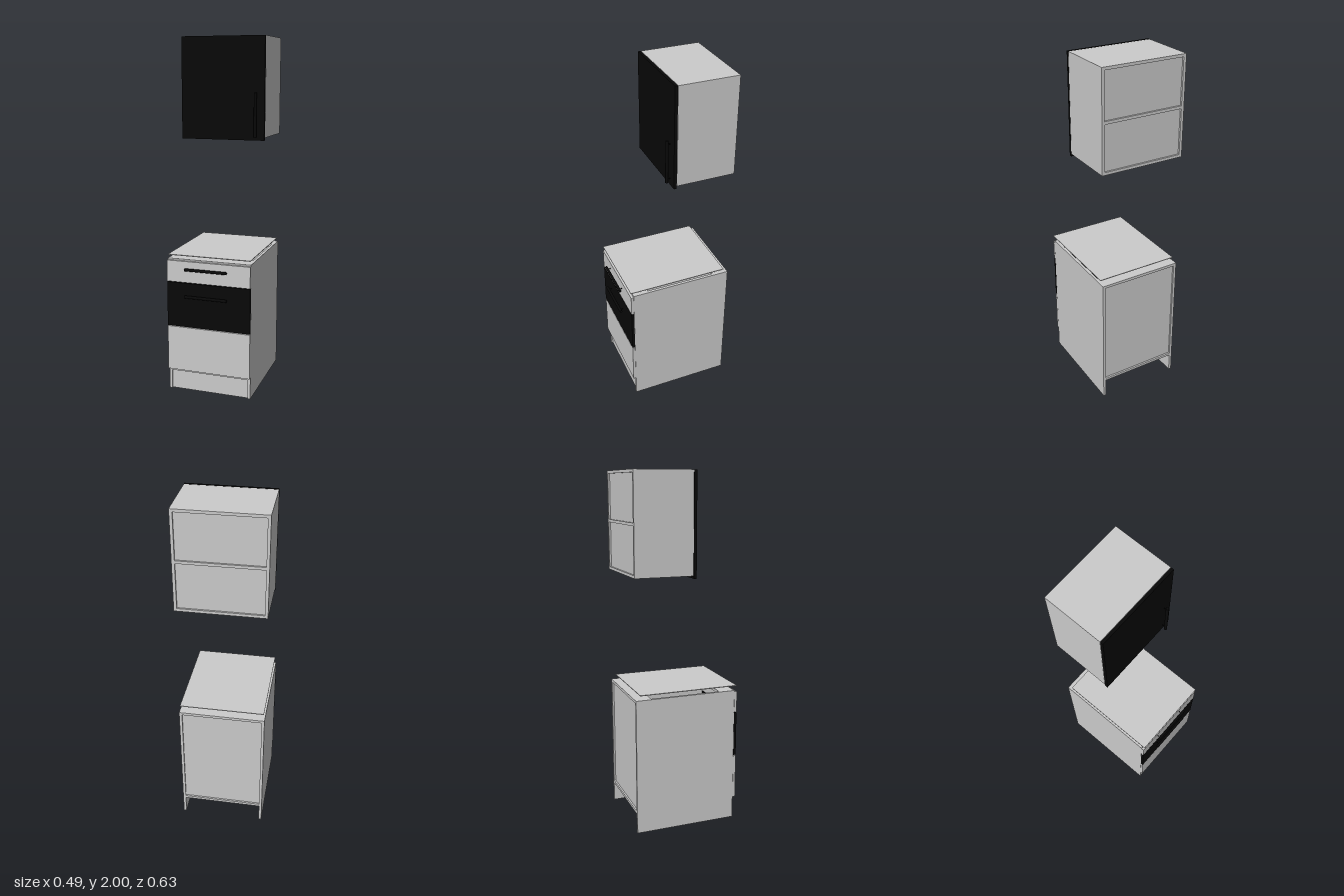
import * as THREE from 'three';

const grey = new THREE.MeshStandardMaterial({ color: 0xcccccc });
const black = new THREE.MeshStandardMaterial({ color: 0x080808 });

// Box given by its min and max on each axis
function board(parent, name, [x0, x1], [y0, y1], [z0, z1], mat = grey) {
  const mesh = new THREE.Mesh(new THREE.BoxGeometry(x1 - x0, y1 - y0, z1 - z0), mat);
  mesh.position.set((x0 + x1) / 2, (y0 + y1) / 2, (z0 + z1) / 2);
  mesh.name = name;
  parent.add(mesh);
  return mesh;
}

// Upright bar handle on two thin posts; its posts reach back to z = -reach
function barHandle(name, length, reach) {
  const g = new THREE.Group();
  g.name = name;
  const bar = new THREE.Mesh(new THREE.CylinderGeometry(0.008, 0.008, length, 20), black);
  bar.name = 'handleBar';
  g.add(bar);
  for (const s of [-1, 1]) {
    const post = new THREE.Mesh(new THREE.CylinderGeometry(0.002, 0.002, reach, 10), black);
    post.name = 'handlePost';
    post.rotation.x = Math.PI / 2;
    post.position.set(0, s * (length / 2 - 0.021), -reach / 2);
    g.add(post);
  }
  return g;
}

const W = 0.2435; // half width
const T = 0.016; // board thickness
const BACK = -0.317;
const FULL = [-W, W];
const INNER = [-W + T, W - T];

function sides(parent, y, z) {
  board(parent, 'rightSide', [-W, -W + T], y, z);
  board(parent, 'leftSide', [W - T, W], y, z);
}

function wallCabinet() {
  const g = new THREE.Group();
  g.name = 'wallCabinet';
  const z = [BACK, 0.015];
  sides(g, [1.445, 2], z);
  board(g, 'topBoard', INNER, [2 - T, 2], z);
  board(g, 'bottomBoard', INNER, [1.445, 1.445 + T], z);
  board(g, 'shelf', INNER, [1.715, 1.715 + T], [BACK, 0]);
  board(g, 'backPanel', INNER, [1.445 + T, 2 - T], [BACK + 0.01, BACK + 0.014]);
  // Door overhangs the carcass at the bottom
  board(g, 'door', FULL, [1.43, 2], [0.017, 0.033], black);
  const handle = barHandle('doorHandle', 0.244, 0.02);
  handle.position.set(0.196, 1.571, 0.053);
  g.add(handle);
  return g;
}

function baseCabinet() {
  const g = new THREE.Group();
  g.name = 'baseCabinet';
  const z = [BACK, 0.271];
  sides(g, [0, 0.78], z);
  board(g, 'bottomBoard', INNER, [0.112, 0.128], z);
  board(g, 'backPanel', INNER, [0.128, 0.78 - T], [BACK + 0.01, BACK + 0.014]);
  // Open top with a rail front and back
  board(g, 'frontRail', INNER, [0.78 - T, 0.78], [0.18, 0.271]);
  board(g, 'backRail', INNER, [0.78 - T, 0.78], [BACK, -0.226]);
  board(g, 'toeKick', INNER, [0, 0.112], [0.25, 0.262]);

  // Three stacked drawer fronts
  const fz = [0.272, 0.287];
  board(g, 'upperDrawerFront', FULL, [0.65, 0.772], fz);
  board(g, 'middleDrawerFront', FULL, [0.389, 0.646], fz, black);
  board(g, 'lowerDrawerFront', FULL, [0.126, 0.385], fz);
  for (const y of [0.73, 0.573]) {
    const handle = barHandle('drawerHandle', 0.244, 0.02);
    handle.rotation.z = Math.PI / 2;
    handle.position.set(-0.008, y, 0.307);
    g.add(handle);
  }
  return g;
}

export function createModel() {
  const model = new THREE.Group();
  model.name = 'kitchenCabinets';
  model.add(wallCabinet(), baseCabinet());
  // Thin worktop sheet hovering over the base
  board(model, 'worktop', [-0.236, W], [0.803, 0.807], [-0.29, 0.288]);
  return model;
}
